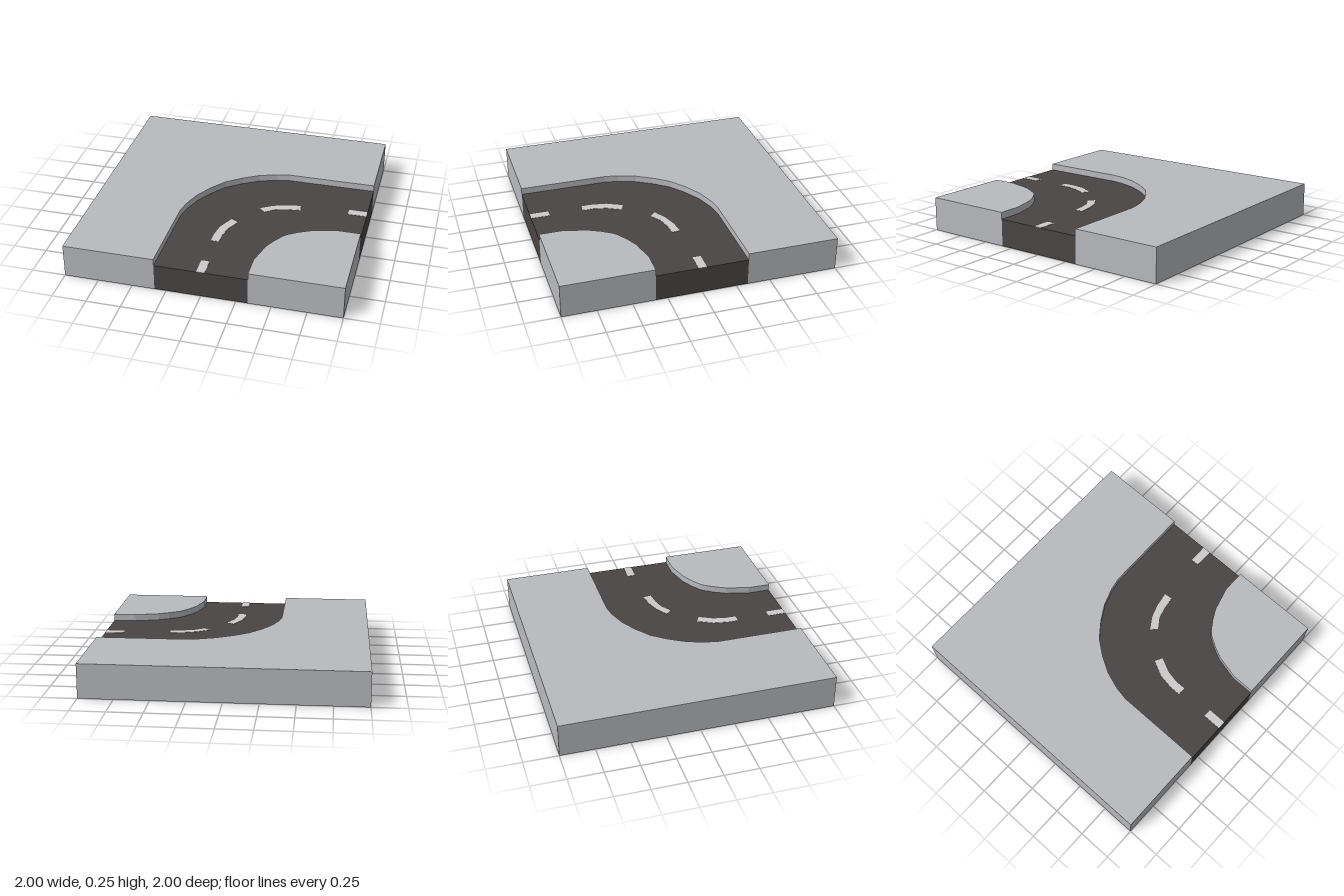
import * as THREE from 'three';

const LAND_TOP = 0.25, ROAD_TOP = 0.2;

const material = (color) => new THREE.MeshStandardMaterial({ color, flatShading: true });

// Shape from [x, z] ground points; y is negated so rotating flat restores z
const groundShape = (points) => new THREE.Shape(points.map(([x, z]) => new THREE.Vector2(x, -z)));

// Mirror a half outline across the x = z diagonal
const mirrorDiagonal = (half) => [
  ...half,
  ...half.slice().reverse().filter(([x, z]) => x !== z).map(([x, z]) => [z, x]),
];

function slab(name, points, bottom, top, mat) {
  const geometry = new THREE.ExtrudeGeometry(groundShape(points), { depth: top - bottom, bevelEnabled: false });
  geometry.rotateX(-Math.PI / 2);
  geometry.translate(0, bottom, 0);
  const mesh = new THREE.Mesh(geometry, mat);
  mesh.name = name;
  return mesh;
}

export function createModel() {
  const group = new THREE.Group();
  group.name = 'roadCornerTile';
  const land = material(0xb9babe), asphalt = material(0x494544), paint = material(0xcccccc);

  // Kerb lines, from the front edge round to the left edge
  const outer = mirrorDiagonal([
    [-0.335, 1], [-0.333, 0.35], [-0.315, 0.25], [-0.27, 0.12], [-0.2, 0], [-0.113, -0.113],
  ]);
  const inner = mirrorDiagonal([
    [0.335, 1], [0.335, 0.83], [0.38, 0.655], [0.42, 0.575], [0.468, 0.5],
  ]);
  const roadOutline = [...outer, ...inner.slice().reverse()];

  // Raised land on both sides of the road
  group.add(slab('outerLand', [...outer, [1, -1], [-1, -1], [-1, 1]], 0, LAND_TOP, land));
  group.add(slab('innerLand', [...inner, [1, 1]], 0, LAND_TOP, land));

  // Sunken road with a land-coloured underside
  group.add(slab('road', roadOutline, 0.002, ROAD_TOP, asphalt));
  const underside = new THREE.Mesh(new THREE.ShapeGeometry(groundShape(roadOutline)), land.clone());
  underside.material.side = THREE.DoubleSide;
  underside.geometry.rotateX(-Math.PI / 2);
  underside.name = 'roadUnderside';
  group.add(underside);

  // Centre-line dashes
  const dashes = {
    frontDash: [[-0.03, 1], [-0.03, 0.86], [0.03, 0.86], [0.03, 1]],
    frontCurveDash: [[-0.03, 0.61], [-0.03, 0.53], [-0.012, 0.42], [0.045, 0.305],
      [0.1, 0.335], [0.05, 0.435], [0.03, 0.53], [0.03, 0.61]],
    sideCurveDash: [[0.21, 0.112], [0.3, 0.055], [0.4, 0.022], [0.503, 0.005],
      [0.51, 0.066], [0.42, 0.076], [0.33, 0.1], [0.255, 0.152]],
    sideDash: [[0.86, -0.03], [1, -0.03], [1, 0.03], [0.86, 0.03]],
  };
  for (const [name, points] of Object.entries(dashes)) {
    group.add(slab(name, points, ROAD_TOP - 0.001, ROAD_TOP + 0.002, paint));
  }
  return group;
}
